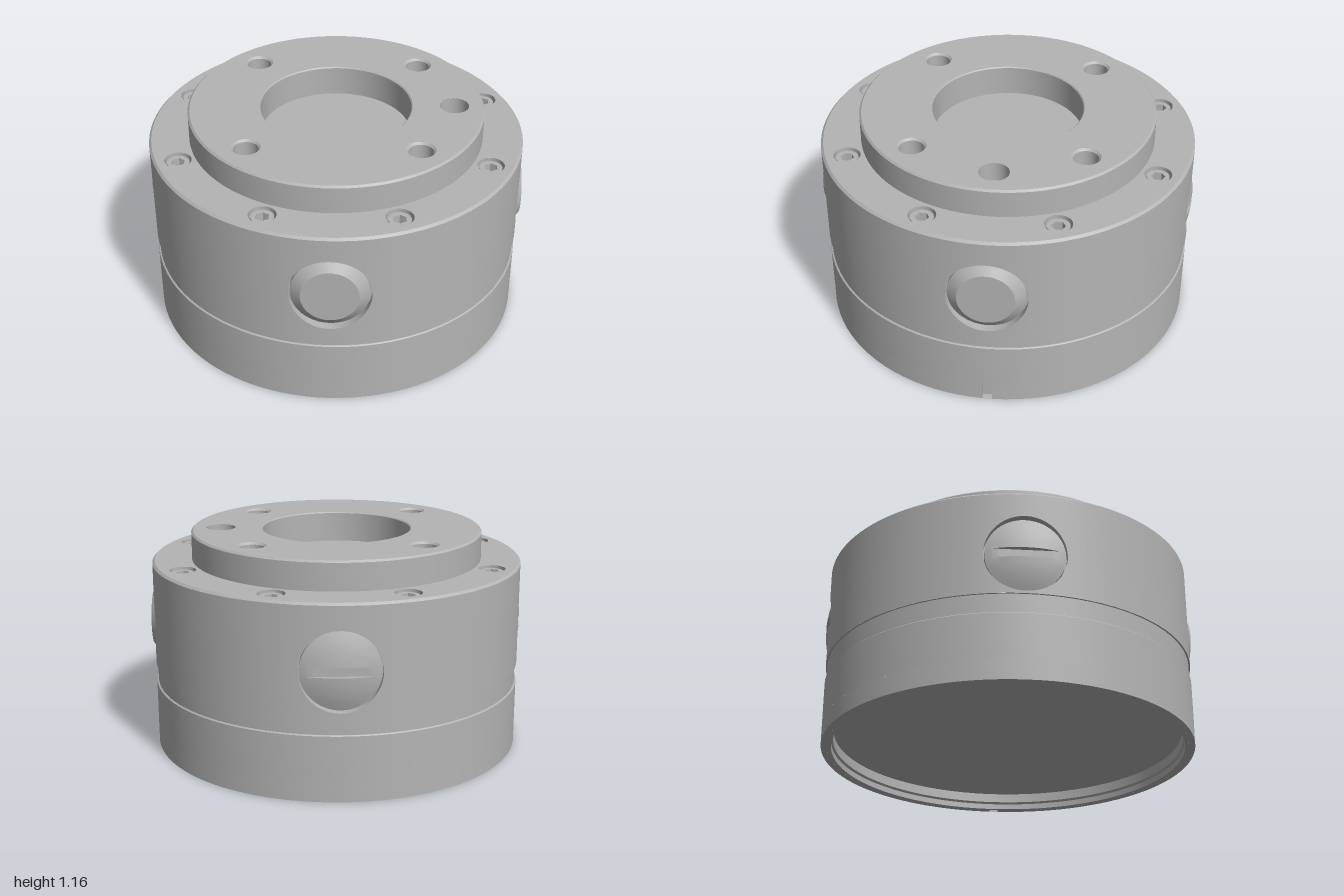
import * as THREE from 'three';
import { toCreasedNormals } from 'three/addons/utils/BufferGeometryUtils.js';
import { ParametricGeometry } from 'three/addons/geometries/ParametricGeometry.js';

const R = 0.988;            // body radius
const WINDOW_Y = 0.67;      // height of the side ports
const WINDOW_R = 0.207;     // port radius
const PANEL = 0.3;          // half width of the wall panel around a port
const Y0 = 0.45, Y1 = 1.0;  // upper wall range

export function createModel() {
  const model = new THREE.Group();
  const metal = new THREE.MeshStandardMaterial({ color: 0xb4b4b4 });
  metal.name = 'grey metal';

  const add = (name, geometry, parent = model) => {
    const mesh = new THREE.Mesh(geometry, metal);
    mesh.name = name;
    parent.add(mesh);
    return mesh;
  };
  // Turned profile with sharp edges; points run up for outer walls, down for bores
  const turn = (points, segments = 96, start = 0, length = Math.PI * 2) =>
    toCreasedNormals(new THREE.LatheGeometry(
      points.map(([x, y]) => new THREE.Vector2(x, y)), segments, start, length), 0.5);
  const circle = (r, x = 0, y = 0) => new THREE.Path().absarc(x, y, r, 0, Math.PI * 2, true);
  // Flat horizontal disc with round holes [radius, x, z]
  const plate = (r, y, holes) => {
    const shape = new THREE.Shape().absarc(0, 0, r, 0, Math.PI * 2);
    holes.forEach(([hr, x, z]) => shape.holes.push(circle(hr, x, -z)));
    return new THREE.ShapeGeometry(shape, 48).rotateX(-Math.PI / 2).translate(0, y, 0);
  };

  // Lower ring, with a gap in its outer skin for the notch
  const gap = 0.025 / R;
  add('lowerRingSkirt', turn([[0.955, 0], [R, 0], [R, 0.1]], 96, Math.PI / 2 + gap, Math.PI * 2 - 2 * gap));
  add('lowerRing', turn([[R, 0.1], [R, 0.345], [R - 0.005, 0.35], [0.979, 0.35], [0.979, 0.45], [R, 0.45]]));
  add('notch', (() => {
    const g = new THREE.BoxGeometry(0.033, 0.1, 0.05).scale(-1, 1, 1);
    g.computeVertexNormals();
    return g.translate(0.9713, 0.05, 0);
  })());
  add('baseRecess', turn([[0, 0.09], [0.925, 0.09], [0.925, 0.04], [0.935, 0.03], [0.935, 0], [0.955, 0]]));

  // Upper wall: plain arcs between four panels pierced by round ports
  const half = Math.asin(PANEL / R);
  const onWall = (x, y, target) => target.set(x, y, Math.sqrt(R * R - x * x));
  const edgePoint = (u) => {               // clockwise around the panel border
    const side = Math.floor(u * 4) % 4, t = u * 4 - Math.floor(u * 4);
    const x = [-PANEL + 2 * PANEL * t, PANEL, PANEL - 2 * PANEL * t, -PANEL][side];
    const y = [Y1, Y1 - (Y1 - Y0) * t, Y0, Y0 + (Y1 - Y0) * t][side];
    return [x, y];
  };
  const holePoint = (u) => {
    const [x, y] = edgePoint(u);
    const a = Math.atan2(y - WINDOW_Y, x);
    return [WINDOW_R * Math.cos(a), WINDOW_Y + WINDOW_R * Math.sin(a)];
  };
  const panel = new ParametricGeometry((u, v, target) => {
    const [ax, ay] = holePoint(u), [bx, by] = edgePoint(u);
    onWall(ax + (bx - ax) * v, ay + (by - ay) * v, target);
  }, 80, 8);
  const portWall = toCreasedNormals(new ParametricGeometry((u, v, target) => {
    const [x, y] = holePoint(u);
    onWall(x, y, target);
    target.z = 0.92 + (target.z - 0.92) * v;
  }, 80, 1), 0.5);

  // Flat-faced plug with a wide chamfer
  const plug = turn([[0.21, 0.925], [0.196, 0.925], [0.196, 0.955], [0.145, 0.995], [0, 0.995]], 64)
    .rotateX(Math.PI / 2).translate(0, WINDOW_Y, 0);

  // Domed plug with a straight slot across it
  const capR = 0.2, slot = 0.025, slotFloor = 0.972;
  const dome = (x, y) => 1 - 0.04 * (x * x + y * y) / (capR * capR);
  const slottedCap = toCreasedNormals(new ParametricGeometry((u, v, target) => {
    const row = Math.round(v * 13), sign = row < 7 ? -1 : 1;
    const k = row < 7 ? 6 - row : row - 7;
    const x = -Math.cos(u * Math.PI) * Math.sqrt(capR * capR - slot * slot);
    const reach = Math.sqrt(Math.max(capR * capR - x * x, slot * slot));
    const y = sign * (slot + Math.max(0, k - 1) / 5 * (reach - slot));
    const z = dome(x, y);
    target.set(x, y + WINDOW_Y, k === 0 ? Math.min(z, slotFloor) : z);
  }, 48, 13), 0.4);
  const capRim = turn([[0.21, 0.925], [capR, 0.925], [capR, 0.96]], 64)
    .rotateX(Math.PI / 2).translate(0, WINDOW_Y, 0);

  // Plugs sit on front and left, slotted caps on back and right
  for (let i = 0; i < 4; i++) {
    const side = new THREE.Group();
    side.name = 'bodySide' + (i + 1);
    side.rotation.y = i * Math.PI / 2;
    add('wallPanel', panel, side);
    add('wallArc', turn([[R, Y0], [R, Y1]], 20, half, Math.PI / 2 - 2 * half), side);
    add('portWall', portWall, side);
    if (i < 2) add('plug', plug, side);
    else {
      add('slottedCap', slottedCap, side);
      add('slottedCapRim', capRim, side);
    }
    model.add(side);
  }

  // Shoulder with eight counterbored socket screws
  const screws = [...Array(8)].map((_, i) => {
    const a = (i + 0.5) * Math.PI / 4;
    return [0.07, 0.865 * Math.cos(a), 0.865 * Math.sin(a)];
  });
  add('shoulderChamfer', turn([[R, Y1], [R - 0.012, 1.012]]));
  add('shoulder', plate(R - 0.012, 1.012, [[0.76, 0, 0], ...screws]));
  const head = new THREE.Shape().absarc(0, 0, 0.058, 0, Math.PI * 2);
  head.holes.push(new THREE.Path([...Array(6)].map((_, i) => {
    const a = Math.PI / 6 - i * Math.PI / 3;
    return new THREE.Vector2(0.036 * Math.cos(a), 0.036 * Math.sin(a));
  })));
  const headGeometry = toCreasedNormals(new THREE.ExtrudeGeometry(head, {
    depth: 0.05, bevelEnabled: false, curveSegments: 32,
  }), 0.5).rotateX(-Math.PI / 2);
  const counterbore = turn([[0.07, 1.012], [0.07, 0.95], [0, 0.95]], 32);
  screws.forEach(([, x, z]) => {
    add('counterbore', counterbore).position.set(x, 0, z);
    add('screwHead', headGeometry).position.set(x, 0.95, z);
  });

  // Raised flange with centre bore, four bolt holes and a pin hole
  const top = 1.165, bolts = [];
  for (const x of [-0.437, 0.437]) for (const z of [-0.437, 0.437]) bolts.push([0.075, x, z]);
  const pin = [0.077, 0.62, 0];
  add('flangeWall', turn([[0.777, 1.01], [0.777, top - 0.01], [0.767, top]]));
  add('flangeTop', plate(0.767, top, [[0.402, 0, 0], ...bolts, pin]));
  add('centreBore', turn([[0.402, top], [0.396, top - 0.006], [0.396, 1.0], [0, 1.0]]));
  const boltHole = turn([[0.075, top], [0.064, top - 0.011], [0.064, 1.0], [0, 1.0]], 32);
  bolts.forEach(([, x, z]) => add('boltHole', boltHole).position.set(x, 0, z));
  add('pinHole', turn([[0.077, top], [0.077, 1.06], [0, 1.015]], 32)).position.set(pin[1], 0, pin[2]);

  return model;
}
